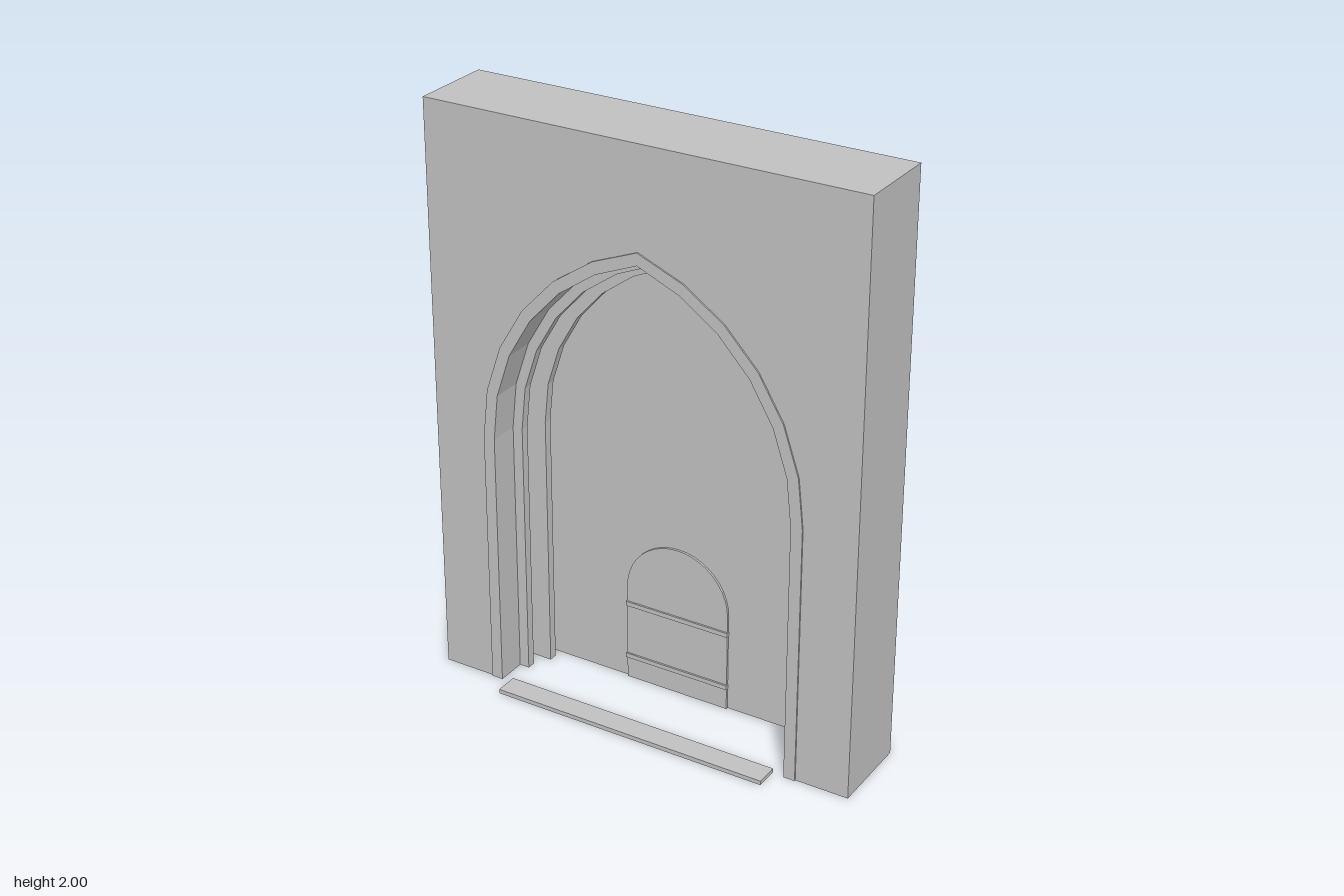
import * as THREE from 'three';

const CENTRE = 0.217;   // arc centre offset of the pointed arch
const SPRING = 0.9;     // height where the arch begins
const SEGMENTS = 6;     // straight facets on each side of the arch

// Pointed arch outline from bottom left over the apex to bottom right
function archPoints(half) {
  const r = half + CENTRE;
  const total = Math.acos(CENTRE / r);
  const left = [[-half, 0]];
  for (let i = 0; i <= SEGMENTS; i++) {
    const a = (total * i) / SEGMENTS;
    left.push([CENTRE - r * Math.cos(a), SPRING + r * Math.sin(a)]);
  }
  left[left.length - 1][0] = 0;
  const right = left.slice(0, -1).reverse().map(([x, y]) => [-x, y]);
  return [...left, ...right].map(([x, y]) => new THREE.Vector2(x, y));
}

export function createModel() {
  const model = new THREE.Group();
  model.name = 'archedDoorway';
  const stone = new THREE.MeshStandardMaterial({ color: 0xc0c0c0 });
  stone.name = 'grey stone';

  function add(name, geometry) {
    const mesh = new THREE.Mesh(geometry, stone);
    mesh.name = name;
    model.add(mesh);
    return mesh;
  }
  function box(name, x0, x1, y0, y1, z0, z1) {
    const g = new THREE.BoxGeometry(x1 - x0, y1 - y0, z1 - z0);
    g.translate((x0 + x1) / 2, (y0 + y1) / 2, (z0 + z1) / 2);
    return add(name, g);
  }
  function extrude(name, shape, z0, z1) {
    const g = new THREE.ExtrudeGeometry(shape, { depth: z1 - z0, bevelEnabled: false, curveSegments: 10 });
    g.translate(0, 0, z0);
    return add(name, g);
  }
  // Arch band between two half widths, open at the foot
  function band(name, outer, inner, z0, z1) {
    extrude(name, new THREE.Shape([...archPoints(outer), ...archPoints(inner).reverse()]), z0, z1);
  }

  // Wall with the arched recess, closed by a back slab
  const corners = [[0.76, 0], [0.76, 2], [-0.76, 2], [-0.76, 0]].map(([x, y]) => new THREE.Vector2(x, y));
  extrude('wall', new THREE.Shape([...corners, ...archPoints(0.535)]), -0.135, 0.105);
  box('backWall', -0.76, 0.76, 0, 2, -0.185, -0.135);

  // Raised trim and the two stepped bands inside the recess
  band('archTrim', 0.575, 0.535, 0.105, 0.11);
  band('middleArch', 0.535, 0.5, -0.025, 0.005);
  band('innerArch', 0.535, 0.465, -0.105, -0.075);

  // Small round-topped door with two straps
  const door = new THREE.Shape();
  door.moveTo(-0.19, 0);
  door.lineTo(0.19, 0);
  door.lineTo(0.19, 0.35);
  door.absarc(0, 0.35, 0.19, 0, Math.PI, false);
  door.closePath();
  extrude('smallDoor', door, -0.135, -0.127);
  for (const y of [0.085, 0.285]) {
    box('doorStrap', -0.192, 0.192, y - 0.008, y + 0.008, -0.135, -0.121);
  }

  // Doorstep in front of the wall
  box('doorstep', -0.495, 0.495, 0, 0.015, 0.105, 0.185);

  return model;
}
